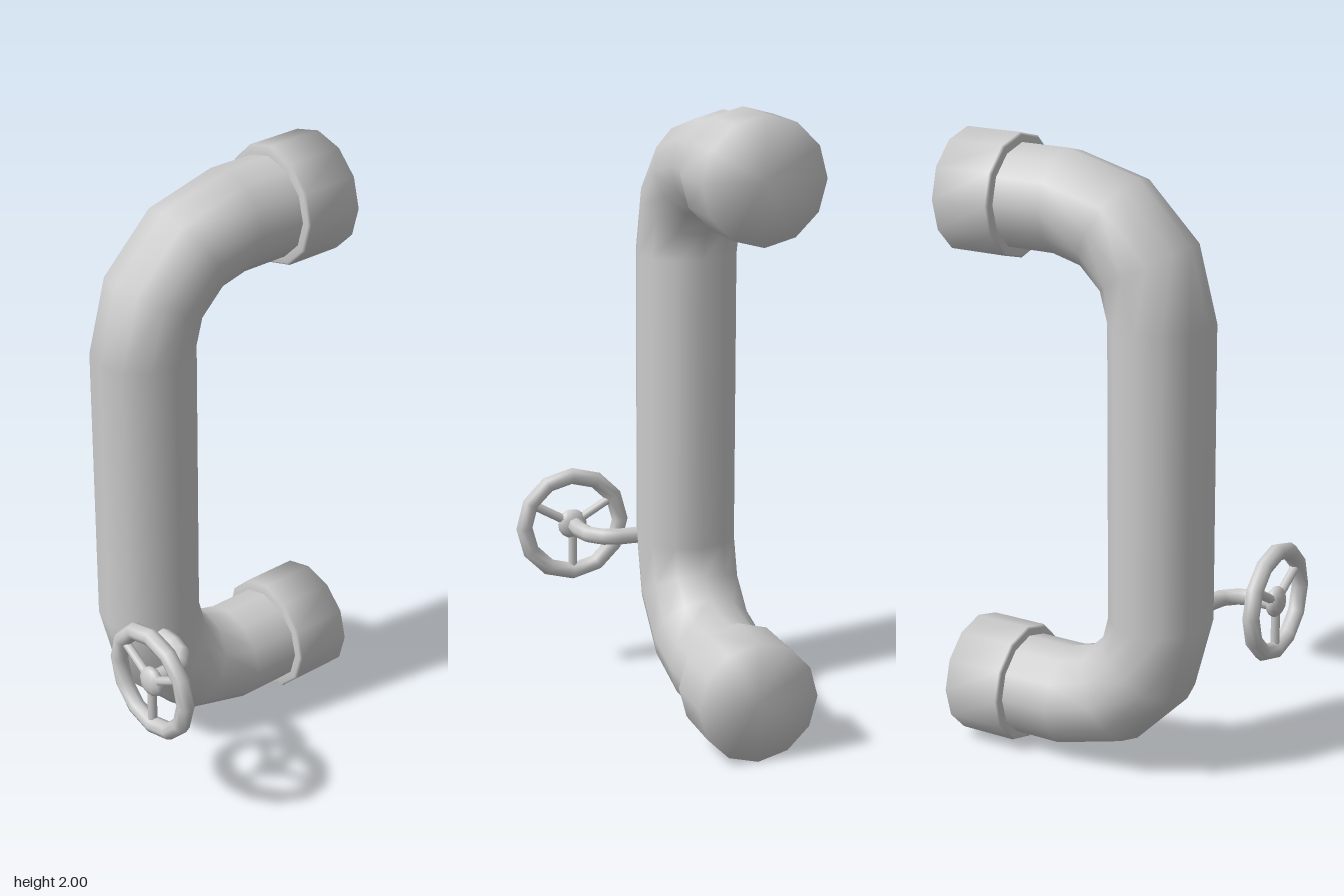
import * as THREE from 'three';

const material = new THREE.MeshStandardMaterial({ color: 0xcccccc, side: THREE.DoubleSide });
const PIPE_X = -0.162;

// Curve through fixed stations, each with a position and a tangent
class StationCurve extends THREE.Curve {
  constructor(stations) {
    super();
    this.stations = stations;
  }
  at(u) {
    return this.stations[Math.round(u * (this.stations.length - 1))];
  }
  getPointAt(u) {
    return this.at(u).point.clone();
  }
  getTangentAt(u) {
    return this.at(u).tangent.clone();
  }
}

function addMesh(parent, name, geometry) {
  const mesh = new THREE.Mesh(geometry, material);
  mesh.name = name;
  parent.add(mesh);
  return mesh;
}

// Tube along stations given as [a, b, heading in degrees] in a plane
function pipe(rows, toWorld, radius, sides) {
  const zero = toWorld(0, 0);
  const stations = rows.map(([a, b, deg]) => {
    const t = THREE.MathUtils.degToRad(deg);
    return {
      point: toWorld(a, b),
      tangent: toWorld(Math.cos(t), Math.sin(t)).sub(zero),
    };
  });
  return new THREE.TubeGeometry(new StationCurve(stations), rows.length - 1, radius, sides, false);
}

// Quarter bend in three steps around (a, b)
function bend(a, b, radius, startDeg) {
  return [0, 30, 60, 90].map((step) => {
    const t = THREE.MathUtils.degToRad(startDeg + step);
    return [a + radius * Math.sin(t), b - radius * Math.cos(t), startDeg + step];
  });
}

export function createModel() {
  const model = new THREE.Group();
  model.name = 'pipeWithValve';

  // Main C-shaped pipe, in the z-y plane
  const mainRows = [
    [-0.4, 0.193, 0],
    ...bend(-0.12, 0.525, 0.332, 0),
    ...bend(-0.12, 1.475, 0.332, 90),
    [-0.4, 1.807, 180],
  ];
  addMesh(model, 'mainPipe', pipe(mainRows, (z, y) => new THREE.Vector3(PIPE_X, y, z), 0.164, 12));

  // Collars with closed backs and a bevelled front lip
  const profile = [
    [0, -0.48], [0.194, -0.48], [0.194, -0.288], [0.187, -0.28], [0.155, -0.28],
  ].map(([r, z]) => new THREE.Vector2(r, z));
  for (const [name, y] of [['lowerCollar', 0.193], ['upperCollar', 1.807]]) {
    const collar = addMesh(model, name, new THREE.LatheGeometry(profile, 12));
    collar.rotation.x = Math.PI / 2;
    collar.position.set(PIPE_X, y, 0);
  }

  // Thin bent stem, in the x-z plane
  const stemRows = [
    [-0.06, 0.271, 0],
    ...bend(0.044, 0.378, 0.107, 0),
    [0.151, 0.44, 90],
  ];
  addMesh(model, 'valveStem', pipe(stemRows, (x, z) => new THREE.Vector3(x, 0.518, z), 0.028, 8));

  // Handwheel
  const wheel = new THREE.Group();
  wheel.name = 'handwheel';
  wheel.position.set(0.157, 0.52, 0.448);
  model.add(wheel);
  addMesh(wheel, 'rim', new THREE.TorusGeometry(0.167, 0.028, 8, 12));
  const hub = addMesh(wheel, 'hub', new THREE.SphereGeometry(0.05, 12, 8));
  hub.scale.z = 0.55;

  // Three spokes from hub to rim
  for (let i = 0; i < 3; i++) {
    const pivot = new THREE.Group();
    pivot.name = 'spoke' + (i + 1);
    pivot.rotation.z = Math.PI + (i * Math.PI * 2) / 3;
    wheel.add(pivot);
    const bar = addMesh(pivot, 'spokeBar', new THREE.CylinderGeometry(0.015, 0.015, 0.15, 8, 1, true));
    bar.position.y = 0.085;
  }
  return model;
}
